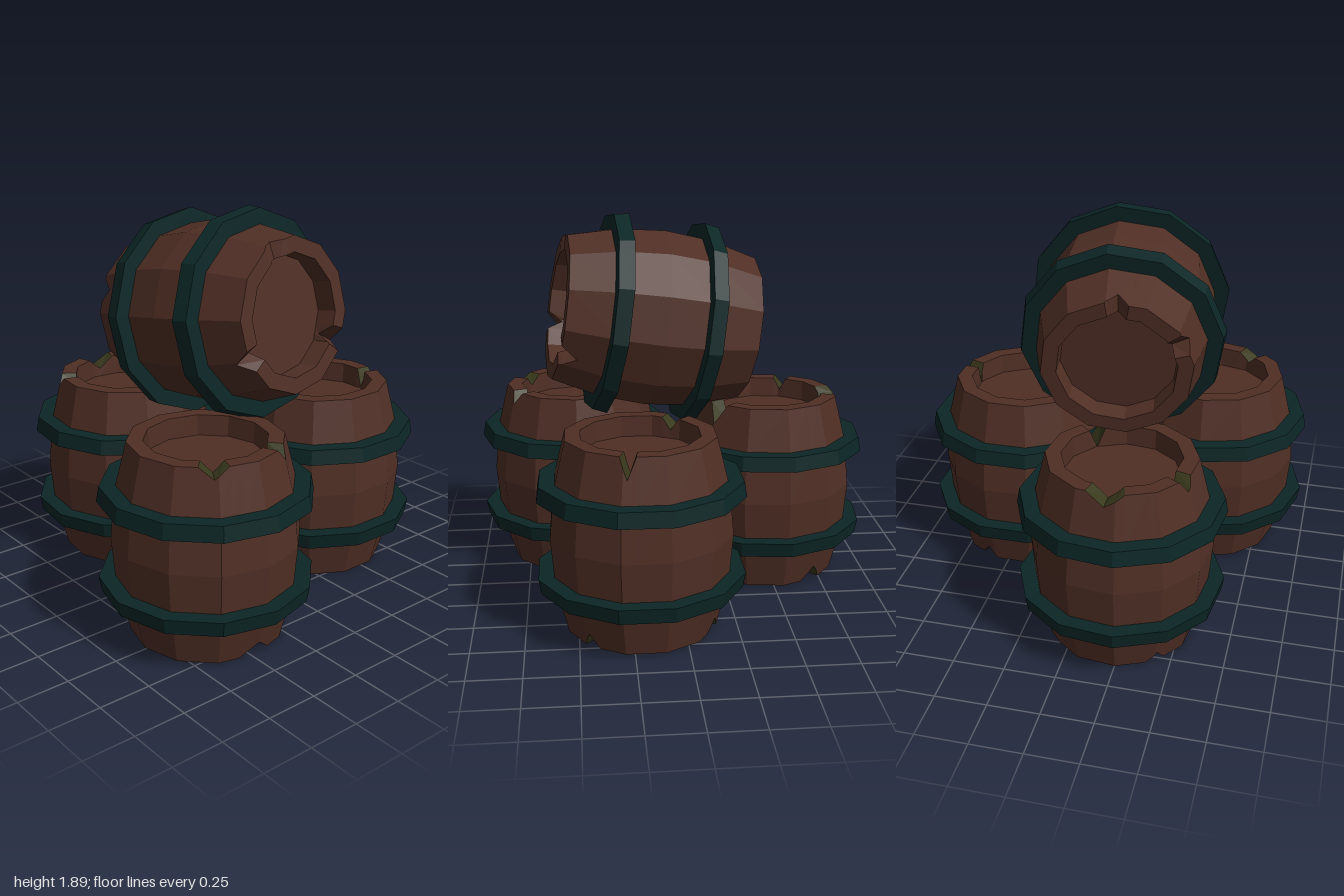
import * as THREE from 'three';

const SIDES = 12, STEP = 360 / SIDES, H = 0.94, RAD = Math.PI / 180;

const wood = new THREE.MeshStandardMaterial({ name: 'brown wood', color: 0x502f25 });
const iron = new THREE.MeshStandardMaterial({ name: 'dark teal iron', color: 0x0c2626 });
const moss = new THREE.MeshStandardMaterial({ name: 'mossy chipped wood', color: 0x39391d });
for (const m of [wood, iron, moss]) m.flatShading = true;

// Radius factor that keeps extra stops on the flat sides of the polygon
const flat = (deg) => {
  const t = ((deg % STEP) + STEP) % STEP;
  return Math.cos((STEP / 2) * RAD) / Math.cos((t - STEP / 2) * RAD);
};
const gap = (a, b) => Math.abs(((a - b + 540) % 360 + 360) % 360 - 180);

// Sweeps a profile around y; profileAt(deg) gives [radius, y] points.
// isPainted(deg, k) picks the faces that take the second material.
function sweep(stops, profileAt, isPainted = () => false) {
  const parts = [[], []];
  const columns = stops.map((deg) => profileAt(deg).map(([r, y]) => {
    const s = r * flat(deg);
    return [s * Math.cos(deg * RAD), y, s * Math.sin(deg * RAD)];
  }));
  stops.forEach((deg, i) => {
    const next = (i + 1) % stops.length;
    const mid = (deg + (next ? stops[next] : stops[0] + 360)) / 2;
    const p = columns[i], q = columns[next];
    for (let k = 0; k < p.length - 1; k++) {
      const out = parts[isPainted(mid, k) ? 1 : 0];
      if (p[k][0] || p[k][2]) out.push(...p[k], ...p[k + 1], ...q[k]);
      if (p[k + 1][0] || p[k + 1][2]) out.push(...p[k + 1], ...q[k + 1], ...q[k]);
    }
  });
  const geo = new THREE.BufferGeometry();
  geo.setAttribute('position', new THREE.Float32BufferAttribute([...parts[0], ...parts[1]], 3));
  geo.addGroup(0, parts[0].length / 3, 0);
  if (parts[1].length) geo.addGroup(parts[0].length / 3, parts[1].length / 3, 1);
  geo.computeVertexNormals();
  return geo;
}

const corners = Array.from({ length: SIDES }, (_, i) => i * STEP);

// Notches are [angle, half width in degrees, depth]
function body(topNotches, bottomNotches, notchMaterial) {
  const all = [...topNotches, ...bottomNotches];
  const stops = [...new Set([
    ...corners,
    ...all.flatMap(([a, w]) => [a - w, a, a + w].map((d) => ((d % 360) + 360) % 360)),
  ])].sort((a, b) => a - b);
  const drop = (list, deg) =>
    Math.max(0, ...list.map(([a, w, d]) => d * (1 - gap(deg, a) / w)));
  const inside = (list, deg) => list.some(([a, w]) => gap(deg, a) < w);
  const profileAt = (deg) => {
    const t = drop(topNotches, deg), b = drop(bottomNotches, deg);
    return [
      [0, 0.1], [0.28, 0.1], [0.285, b], [0.36 + b * 0.25, b],
      [0.42, 0.24], [0.44, H / 2], [0.42, H - 0.24],
      [0.36 + t * 0.25, H - t], [0.285, H - t], [0.28, H - 0.1], [0, H - 0.1],
    ];
  };
  const geo = sweep(stops, profileAt, (deg, k) =>
    (k === 2 && inside(bottomNotches, deg)) || (k === 7 && inside(topNotches, deg)));
  const mesh = new THREE.Mesh(geo, [wood, notchMaterial]);
  mesh.name = 'barrelBody';
  return mesh;
}

// Iron band, tapering toward the nearer end of the barrel
function hoop(upper) {
  const [rLow, rHigh] = upper ? [0.5, 0.487] : [0.487, 0.5];
  const y = upper ? 0.66 : 0.21;
  const mesh = new THREE.Mesh(
    sweep(corners, () => [[0.4, y], [rLow, y], [rHigh, y + 0.073], [0.4, y + 0.073]]), iron);
  mesh.name = upper ? 'upperHoop' : 'lowerHoop';
  return mesh;
}

// Barrel whose notch angles are given in the model's frame
function barrel(name, turn, top, bottom, notchMaterial) {
  const local = (list) => list.map(([a, w, d]) => [a - turn, w, d]);
  const g = new THREE.Group();
  g.name = name;
  g.add(body(local(top), local(bottom), notchMaterial), hoop(true), hoop(false));
  g.rotation.y = -turn * RAD;
  return g;
}

export function createModel() {
  const model = new THREE.Group();
  model.name = 'barrelStack';

  // Three standing barrels
  const front = barrel('frontBarrel', 0,
    [[123, 11, 0.05], [59, 7, 0.06]], [[90, 14, 0.07], [315, 9, 0.06]], moss);
  front.position.set(-0.475, 0, 0.49);

  const side = barrel('sideBarrel', 15,
    [[12, 6, 0.1], [215, 9, 0.06]], [[43, 7, 0.07], [292, 9, 0.06]], moss);
  side.position.set(0.475, 0, 0.2);

  const back = barrel('backBarrel', -8,
    [[270, 15, 0.06], [204, 7, 0.06], [52, 9, 0.1]], [[325, 10, 0.08], [230, 8, 0.06]], moss);
  back.position.set(-0.2, 0, -0.5);

  // Barrel lying across the others
  const inner = barrel('lyingBarrelParts', 0,
    [[148, 9, 0.07], [23, 9, 0.08], [248, 12, 0.03]], [[262, 9, 0.06], [198, 9, 0.06]], wood);
  inner.position.y = -H / 2;
  const lying = new THREE.Group();
  lying.name = 'lyingBarrel';
  lying.add(inner);
  lying.position.set(-0.08, 1.37, 0.11);
  lying.quaternion.setFromUnitVectors(
    new THREE.Vector3(0, 1, 0), new THREE.Vector3(0.12, 0.15, 0.98).normalize());

  model.add(front, side, back, lying);
  return model;
}
